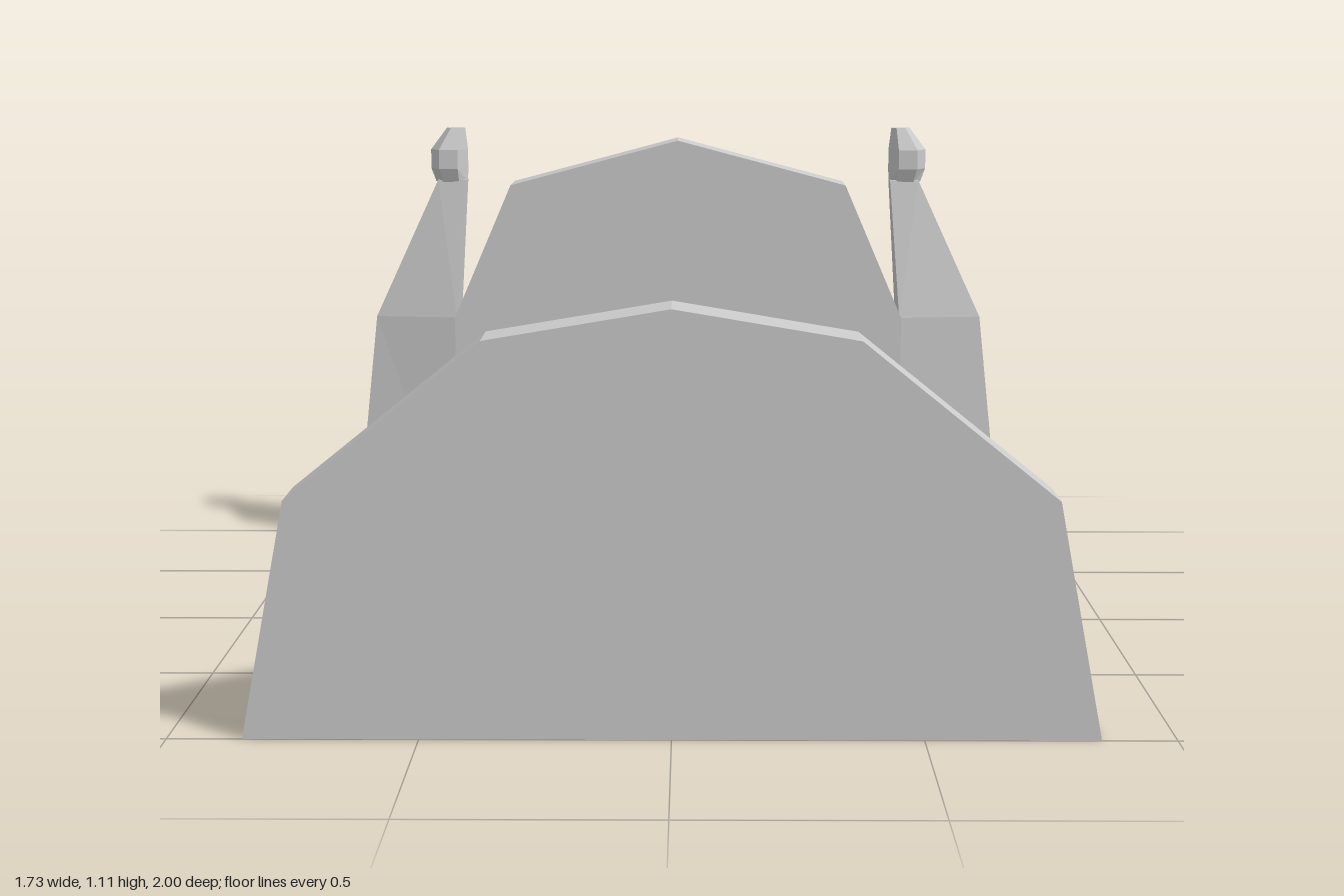
import * as THREE from 'three';

const material = new THREE.MeshStandardMaterial({ color: 0xcccccc, flatShading: true, side: THREE.DoubleSide });

function addMesh(parent, name, geometry) {
  const mesh = new THREE.Mesh(geometry, material);
  mesh.name = name;
  parent.add(mesh);
  return mesh;
}

// Skin rows of [x, y, z] points; optionally close each row into a ring and cap both ends.
function loft(rows, ring = false) {
  const n = rows[0].length;
  const index = [];
  for (let i = 0; i < rows.length - 1; i++) {
    for (let j = 0; j < (ring ? n : n - 1); j++) {
      const k = (j + 1) % n;
      const a = i * n + j, b = i * n + k, c = a + n, d = b + n;
      index.push(a, b, d, a, d, c);
    }
  }
  if (ring) {
    const last = (rows.length - 1) * n;
    for (let j = 1; j < n - 1; j++) {
      index.push(0, j + 1, j, last, last + j, last + j + 1);
    }
  }
  const g = new THREE.BufferGeometry();
  g.setAttribute('position', new THREE.Float32BufferAttribute(rows.flat(2), 3));
  g.setIndex(index);
  const flat = g.toNonIndexed();
  flat.computeVertexNormals();
  return flat;
}

// Turn a half row (centre outwards to +x) into a full row from -x to +x.
const mirrorRow = (half) => [...half.slice(1).reverse().map(([x, y, z]) => [-x, y, z]), ...half];

// Symmetric board cut from a half outline (bottom corner up to the centre peak).
function board(half, z, depth) {
  const left = half.slice(0, -1).reverse().map(([x, y]) => [-x, y]);
  const shape = new THREE.Shape([...half, ...left].map(([x, y]) => new THREE.Vector2(x, y)));
  return new THREE.ExtrudeGeometry(shape, { depth, bevelEnabled: false }).translate(0, 0, z);
}

// Four-sided tapering sections: [y, inner x, inner half depth, outer x, outer half depth].
const postRings = (levels) => levels.map(([y, xi, a, xo, b]) => [
  [xi, y, -0.92 + a], [xo, y, -0.92 + b], [xo, y, -0.92 - b], [xi, y, -0.92 - a],
]);

export function createModel() {
  const bed = new THREE.Group();
  bed.name = 'bed';

  // Boards at both ends
  addMesh(bed, 'footboard', board([[0.85, 0], [0.76, 0.48], [0.37, 0.795], [0, 0.857]], 0.857, 0.143));
  addMesh(bed, 'headboard', board([[0.59, 0], [0.59, 0.61], [0.44, 0.96], [0, 1.077]], -1, 0.16));

  // Leaning head posts with knobs
  const post = loft(postRings([
    [0, 0.59, 0.08, 0.865, 0.05],
    [0.61, 0.585, 0.08, 0.8, 0.05],
    [0.97, 0.56, 0.032, 0.635, 0.027],
  ]), true);
  // Six-sided knob sections: [y, centre x, half width, half depth]
  const knob = loft([
    [0.965, 0.6, 0.042, 0.03],
    [1.0, 0.606, 0.049, 0.044],
    [1.05, 0.606, 0.049, 0.044],
    [1.107, 0.588, 0.024, 0.022],
  ].map(([y, x, w, d]) => [
    [x - w, y, -0.92], [x - w / 2, y, -0.92 + d], [x + w / 2, y, -0.92 + d],
    [x + w, y, -0.92], [x + w / 2, y, -0.92 - d], [x - w / 2, y, -0.92 - d],
  ]), true);
  for (const [side, s] of [['left', 1], ['right', -1]]) {
    const group = new THREE.Group();
    group.name = side + 'HeadPost';
    addMesh(group, 'post', post);
    addMesh(group, 'knob', knob);
    group.scale.x = s;
    bed.add(group);
  }

  // Draped blanket, open underneath
  const blanketEnd = [[0, 0.5, -0.27], [0.555, 0.42, -0.25], [0.745, 0, -0.28]];
  addMesh(bed, 'blanket', loft([
    [[0, 0.48, 0.86], [0.575, 0.4, 0.86], [0.74, 0, 0.86]],
    [[0, 0.45, 0.3], [0.57, 0.385, 0.3], [0.78, 0, 0.3]],
    blanketEnd,
  ].map(mirrorRow)));

  // Sheet below the pillow
  addMesh(bed, 'sheet', loft([
    blanketEnd,
    [[0, 0.47, -0.5], [0.57, 0.415, -0.5], [0.75, 0, -0.5]],
    [[0, 0.47, -0.85], [0.59, 0.405, -0.85], [0.75, 0, -0.85]],
  ].map(mirrorRow)));

  // Turned-back fold: foot edge, ridge, head edge and tucked underside, meeting at the floor
  const hem = [0.747, 0.005, -0.28];
  addMesh(bed, 'blanketFold', loft([
    [[0, 0.5, -0.27], [0.555, 0.42, -0.25], [0.58, 0.36, -0.255], [0.622, 0.27, -0.262], hem],
    [[0, 0.6, -0.41], [0.575, 0.5, -0.395], [0.63, 0.43, -0.4], [0.667, 0.3, -0.41], hem],
    [[0, 0.575, -0.535], [0.595, 0.46, -0.515], [0.635, 0.4, -0.5], [0.672, 0.3, -0.475], hem],
    [[0, 0.45, -0.52], [0.57, 0.41, -0.5], [0.59, 0.36, -0.48], [0.62, 0.28, -0.45], hem],
  ].map(mirrorRow)));

  // Pillow sections from foot to head: [z, centre top, corner top, middle, bottom, half width]
  addMesh(bed, 'pillow', loft([
    [-0.48, 0.525, 0.5, 0.47, 0.43, 0.305],
    [-0.65, 0.565, 0.535, 0.5, 0.445, 0.325],
    [-0.785, 0.6, 0.57, 0.525, 0.455, 0.305],
    [-0.805, 0.54, 0.53, 0.52, 0.46, 0.29],
  ].map(([z, top, corner, mid, low, w]) => [
    [-w, mid, z], [-w + 0.02, corner, z], [0, top, z - 0.015], [w - 0.02, corner, z],
    [w, mid, z], [w - 0.02, low, z], [-w + 0.02, low, z],
  ]), true));

  return bed;
}
